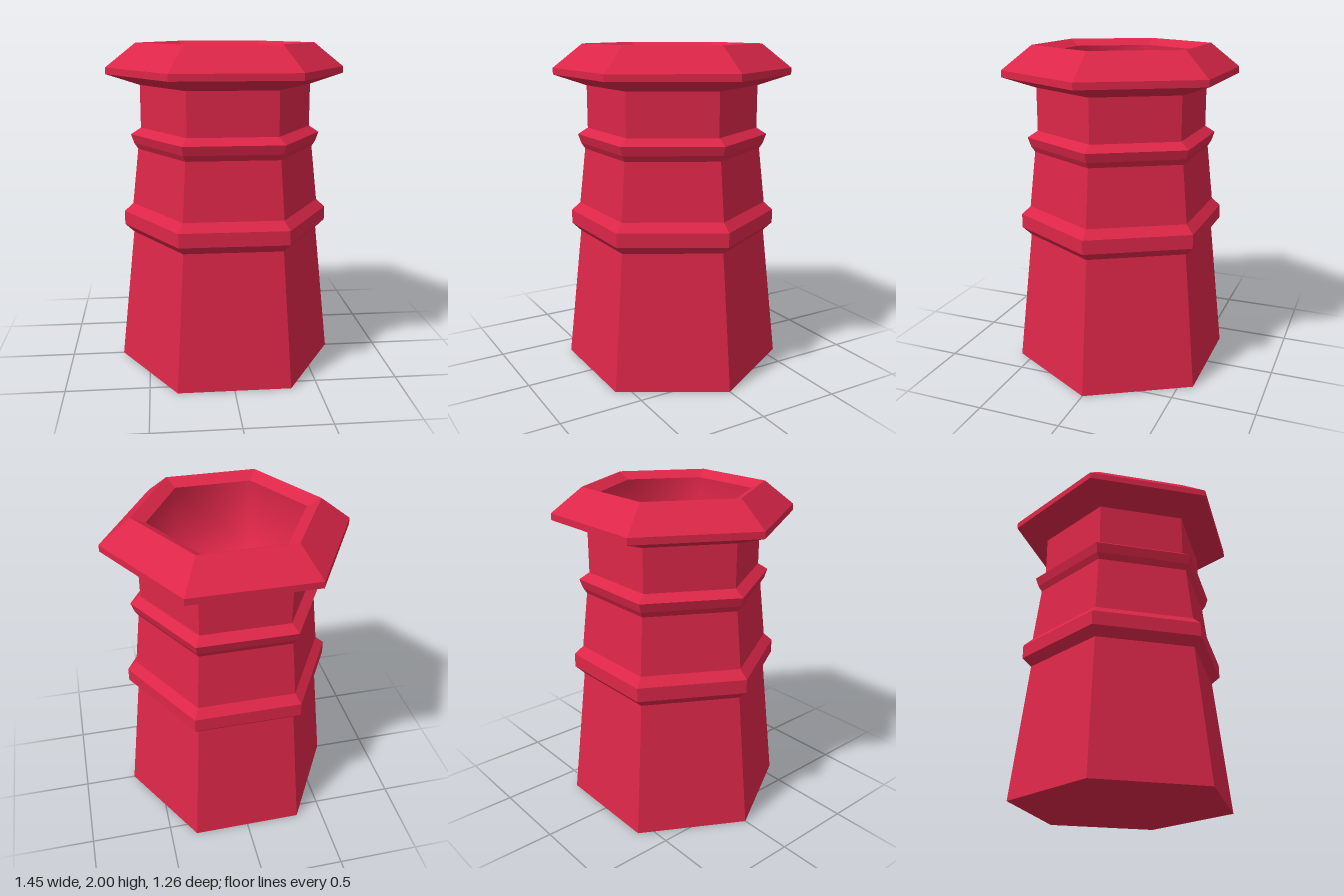
import * as THREE from 'three';

const COLOR = 0xdc2648;

// Six-sided ring swept from [corner radius, height] pairs, with corners on the x axis
function hexPart(name, profile, flatShading = true) {
  const points = profile.map(([r, y]) => new THREE.Vector2(r, y));
  const geometry = new THREE.LatheGeometry(points, 6, Math.PI / 2);
  const mesh = new THREE.Mesh(geometry, new THREE.MeshStandardMaterial({ color: COLOR, flatShading }));
  mesh.name = name;
  return mesh;
}

export function createModel() {
  const group = new THREE.Group();
  group.name = 'chimneyPot';
  group.add(
    // closed underside and tapered lower body
    hexPart('base', [[0, 0], [0.675, 0], [0.583, 0.83]]),
    // wide moulding around the middle
    hexPart('lowerBand', [[0.583, 0.83], [0.638, 0.88], [0.638, 0.965], [0.583, 1.015]]),
    hexPart('upperBody', [[0.583, 1.015], [0.543, 1.36]]),
    // narrow moulding below the neck
    hexPart('upperBand', [[0.543, 1.36], [0.566, 1.395], [0.585, 1.45], [0.523, 1.49]]),
    hexPart('neck', [[0.523, 1.49], [0.523, 1.75]]),
    // overhanging cap with a lip sloping inward
    hexPart('cap', [[0.523, 1.75], [0.727, 1.815], [0.727, 1.855], [0.543, 2], [0.46, 1.96]]),
    // hollow flue, softly shaded down to its floor
    hexPart('flue', [[0.46, 1.96], [0.46, 1.49], [0, 1.49]], false),
  );
  return group;
}
